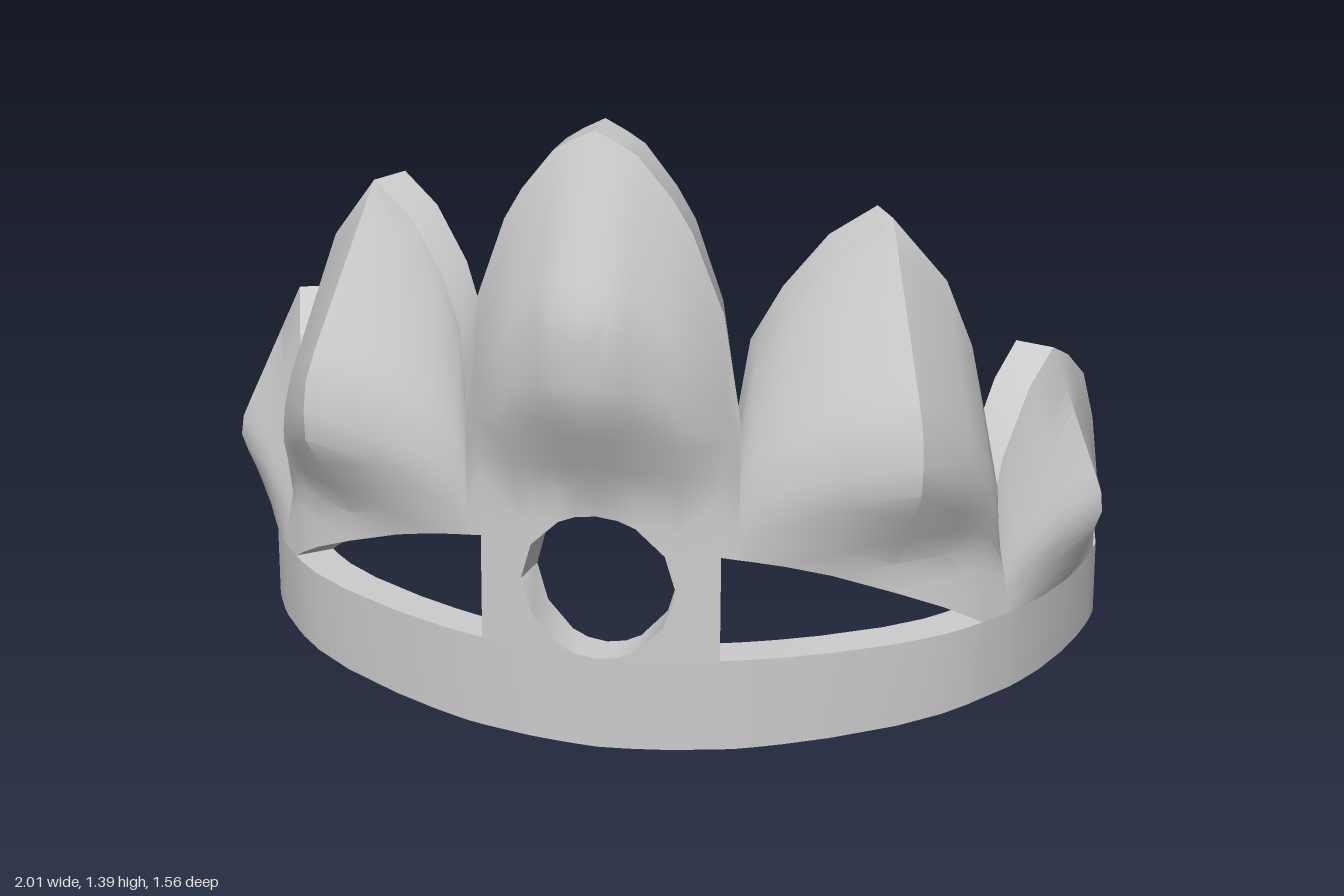
import * as THREE from 'three';
import { toCreasedNormals } from 'three/addons/utils/BufferGeometryUtils.js';

const THICK = 0.09;
const { lerp, clamp } = THREE.MathUtils;

// Plan of the band's outer face, from beyond the front centre round to the left end.
// Parameter s counts these points: s = 0 at the front centre, s = 7 at the open end.
const plan = new THREE.CatmullRomCurve3(
  [[-0.3, 0.61], [0, 0.65], [0.3, 0.61], [0.6, 0.48], [0.785, 0.33], [0.91, 0.1],
    [0.97, -0.19], [0.93, -0.46], [0.79, -0.78]].map(([x, z]) => new THREE.Vector3(x, 0, z)),
  false, 'catmullrom');
const base = (s) => plan.getPoint((s + 1) / 8);
const outward = (s) => {
  const t = plan.getTangent((s + 1) / 8);
  return new THREE.Vector3(-t.z, 0, t.x).normalize();
};

// Piecewise-linear lookup in a short table of [key, value]
function table(rows, s) {
  for (let i = 1; i < rows.length; i++) {
    const [a, va] = rows[i - 1], [b, vb] = rows[i];
    if (s <= b) return lerp(va, vb, clamp((s - a) / (b - a), 0, 1));
  }
  return rows[rows.length - 1][1];
}
const bandTop = (s) => table([[0, 0.21], [1, 0.22], [3, 0.235], [4.87, 0.225], [6, 0.19], [7, 0.165]], s);
const bandBottom = (s) => table([[0, 0], [1, 0.01], [2, 0.03], [3, 0.05], [5, 0.05], [7, 0.03]], s);

// Petals: columns are [s, x, y, z] of the rim; rise is the bulge over the column height
const petals = {
  centre: {
    amp: 0.14, start: 0.58, rise: [[0, 0], [0.34, 1], [0.56, 1], [1, 0]],
    across: [[0, 1], [0.15, 1], [1, 0]],
    cols: [[0, 0, 1.39, 0.635], [0.15, 0.05, 1.365, 0.633], [0.275, 0.09, 1.34, 0.63],
      [0.477, 0.16, 1.25, 0.62], [0.55, 0.2, 1.18, 0.615], [0.88, 0.265, 1, 0.6], [1, 0.3, 0.76, 0.59]],
  },
  side: {
    amp: 0.16, start: 0.4, rise: [[0, 0], [0.3, 1], [0.48, 1], [1, 0]],
    across: [[1, 0], [2.1, 1], [3.35, 0]],
    cols: [[1, 0.3, 0.76, 0.59], [1.1, 0.32, 0.9, 0.55], [1.3, 0.38, 1, 0.48], [1.6, 0.47, 1.1, 0.41],
      [2.1, 0.57, 1.15, 0.34], [2.55, 0.68, 1, 0.285], [2.85, 0.735, 0.85, 0.265],
      [3, 0.765, 0.7, 0.26], [3.35, 0.79, 0.48, 0.25]],
  },
  rear: {
    amp: 0.1, start: 0.22, rise: [[0, 0], [0.33, 1], [0.43, 1], [1, 0]],
    across: [[3.35, 0], [4.2, 1], [4.87, 0]],
    cols: [[3.35, 0.79, 0.48, 0.25], [3.5, 0.8, 0.57, 0.2], [3.8, 0.84, 0.7, 0.09], [4.2, 0.875, 0.755, -0.02],
      [4.5, 0.9, 0.715, -0.09], [4.7, 0.93, 0.65, -0.15], [4.8, 0.95, 0.53, -0.19], [4.87, 0.965, 0.38, -0.2]],
  },
};

// Lower edge of the petals: round opening, then the sloping window, then the band
const HOLE_Y = 0.375, HOLE_R = 0.165;
const holeHalf = (s) => Math.sqrt(Math.max(0, HOLE_R ** 2 - base(s).x ** 2));
function petalBottom(s) {
  if (s <= 0.56) return HOLE_Y + holeHalf(s);
  if (s <= 3) return 0.235 + ((base(s).z - 0.33) / 0.28) * 0.215;
  return bandTop(s);
}

// One column of [outer, inner] points, leaning from the band to the rim and bulging outward
function petalColumn(petal, col, y0, y1, rows) {
  const [s, x, top, z] = col;
  const n = outward(s), b = base(s), foot = bandTop(s);
  return Array.from({ length: rows + 1 }, (_, j) => {
    const y = lerp(y0, y1, j / rows);
    const f = clamp((y - foot) / (top - foot), 0, 1);
    const mid = new THREE.Vector3(lerp(b.x, x, f), y, lerp(b.z, z, f));
    const g = (y - petal.start) / (top - petal.start);
    const bulge = petal.amp * table(petal.across, s) * table(petal.rise, g);
    return [mid.clone().addScaledVector(n, bulge), mid.clone().addScaledVector(n, -THICK)];
  });
}

// Thick sheet between columns; start and end say whether its side walls are closed
function sheet(out, cols, mirror, start, end) {
  const tri = (a, b, c) => {
    const area = b.clone().sub(a).cross(c.clone().sub(a)).length();
    if (area < 1e-9) return;
    for (const p of mirror ? [a, c, b] : [a, b, c]) out.push(mirror ? -p.x : p.x, p.y, p.z);
  };
  const quad = (a, b, c, d) => { tri(a, b, c); tri(a, c, d); };
  const m = cols[0].length - 1, last = cols.length - 1;
  for (let i = 0; i < last; i++) {
    const A = cols[i], B = cols[i + 1];
    for (let j = 0; j < m; j++) {
      quad(A[j][0], B[j][0], B[j + 1][0], A[j + 1][0]);
      quad(A[j][1], A[j + 1][1], B[j + 1][1], B[j][1]);
    }
    quad(A[0][0], A[0][1], B[0][1], B[0][0]);
    quad(A[m][0], B[m][0], B[m][1], A[m][1]);
  }
  for (let j = 0; j < m; j++) {
    const S = cols[0], E = cols[last];
    if (start) quad(S[j][1], S[j][0], S[j + 1][0], S[j + 1][1]);
    if (end) quad(E[j][0], E[j][1], E[j + 1][1], E[j + 1][0]);
  }
}

export function createModel() {
  const group = new THREE.Group();
  const material = new THREE.MeshStandardMaterial({ color: 0xcccccc });
  const add = (name, positions) => {
    const g = new THREE.BufferGeometry();
    g.setAttribute('position', new THREE.Float32BufferAttribute(positions, 3));
    const mesh = new THREE.Mesh(toCreasedNormals(g, 0.6), material);
    mesh.name = name;
    group.add(mesh);
  };
  const petalCols = (p) => p.cols.map((c) => petalColumn(p, c, petalBottom(c[0]), c[2], 12));

  // Band, open at the back
  const stops = [...new Set(Object.values(petals).flatMap((p) => p.cols.map((c) => c[0]))), 5, 6, 7];
  const bandCols = stops.map((s) => {
    const o = base(s), i = o.clone().addScaledVector(outward(s), -THICK);
    return [bandBottom(s), bandTop(s)].map((y) => [o.clone().setY(y), i.clone().setY(y)]);
  });
  const band = [];
  for (const mirror of [false, true]) sheet(band, bandCols, mirror, false, true);
  add('band', band);

  // Lower frame of the round opening, with the posts beside it
  const frameCols = petals.centre.cols.slice(0, 6).map((c) => {
    const s = c[0];
    const top = s <= 0.56 ? HOLE_Y - holeHalf(s) : petalBottom(s);
    return petalColumn(petals.centre, c, bandTop(s), top, 4);
  });
  const frame = [], centre = [];
  for (const mirror of [false, true]) {
    sheet(frame, frameCols, mirror, false, true);
    sheet(centre, petalCols(petals.centre), mirror, false, false);
  }
  add('roundOpeningFrame', frame);
  add('centrePetal', centre);

  // Side and rear petals on both sides
  for (const [side, mirror] of [['left', false], ['right', true]]) {
    const sidePetal = [], rearPetal = [];
    sheet(sidePetal, petalCols(petals.side), mirror, false, false);
    sheet(rearPetal, petalCols(petals.rear), mirror, false, true);
    add(side + 'SidePetal', sidePetal);
    add(side + 'RearPetal', rearPetal);
  }
  return group;
}
